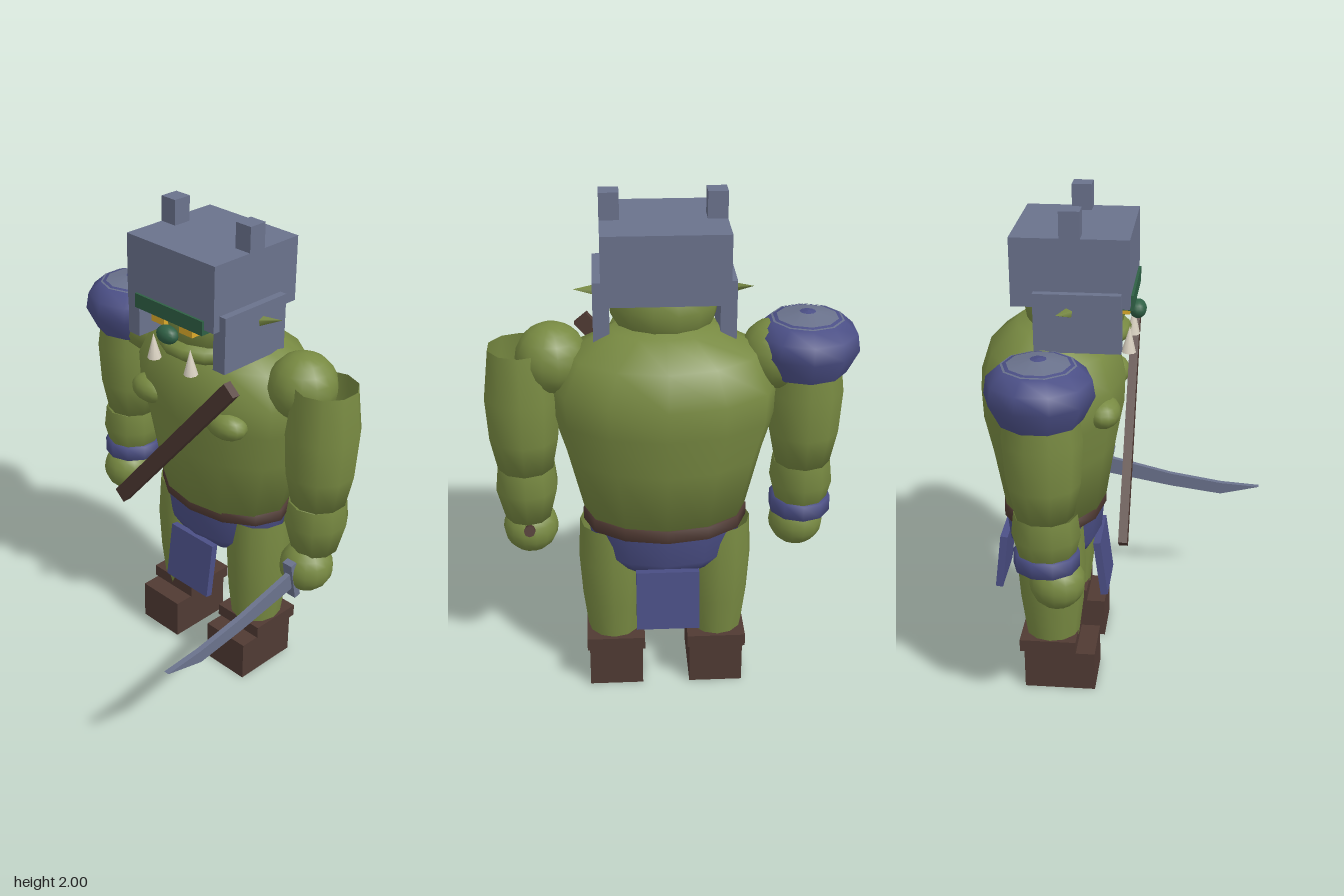
import * as THREE from 'three';

const mat = (name, color, side = THREE.FrontSide) => {
  const m = new THREE.MeshStandardMaterial({ color, side });
  m.name = name;
  return m;
};

export function createModel() {
  const skin = mat('green skin', 0x788a42, THREE.DoubleSide);
  const steel = mat('steel', 0x6a728c);
  const cloth = mat('blue cloth', 0x4b4f86, THREE.DoubleSide);
  const leather = mat('brown leather', 0x503a33);
  const dark = mat('dark green', 0x2f6045);
  const yellow = mat('yellow eye', 0xdcaa2a);
  const ivory = mat('ivory', 0xdad2c2);

  const model = new THREE.Group();
  const body = new THREE.Group();
  body.name = 'body';
  body.position.x = 0.02;
  model.add(body);

  const add = (name, geo, material, x, y, z) => {
    const m = new THREE.Mesh(geo, material);
    m.name = name;
    m.position.set(x, y, z);
    body.add(m);
    return m;
  };
  const box = (name, material, w, h, d, x, y, z) =>
    add(name, new THREE.BoxGeometry(w, h, d), material, x, y, z);
  const ball = (name, material, rx, ry, rz, x, y, z) => {
    const m = add(name, new THREE.SphereGeometry(1, 14, 10), material, x, y, z);
    m.scale.set(rx, ry, rz);
    return m;
  };
  // profile: [radius, y] pairs from bottom to top
  const lathe = (name, material, profile, x, z, sides = 12, depth = 1) => {
    const pts = profile.map(([r, y]) => new THREE.Vector2(r, y));
    const m = add(name, new THREE.LatheGeometry(pts, sides), material, x, 0, z);
    m.scale.z = depth;
    return m;
  };
  // tapered rod between two points
  const rod = (name, material, a, b, r0, r1, sides) => {
    const p = new THREE.Vector3(...a), q = new THREE.Vector3(...b);
    const d = q.clone().sub(p);
    const m = add(name, new THREE.CylinderGeometry(r1, r0, d.length(), sides), material, 0, 0, 0);
    m.position.copy(p).add(q).multiplyScalar(0.5);
    m.quaternion.setFromUnitVectors(new THREE.Vector3(0, 1, 0), d.normalize());
    return m;
  };

  // Torso, belt and loincloth
  lathe('torso', skin, [[0, 0.73], [0.3, 0.73], [0.37, 1.02], [0.418, 1.18], [0.425, 1.3],
    [0.36, 1.43], [0.2, 1.515], [0, 1.54]], 0, -0.28, 12, 0.67);
  const belt = [[0.29, 0.725], [0.315, 0.725], [0.315, 0.775], [0.29, 0.775]];
  lathe('belt', leather, belt, 0, -0.285, 12, 0.67);
  lathe('loincloth', cloth, [[0, 0.56], [0.235, 0.56], [0.28, 0.61], [0.3, 0.74]], 0, -0.285, 12, 0.68);
  box('frontFlap', cloth, 0.24, 0.245, 0.03, 0, 0.467, -0.088).rotation.x = -0.12;
  box('backFlap', cloth, 0.24, 0.24, 0.03, 0, 0.48, -0.5).rotation.x = 0.12;
  box('chestStrap', leather, 0.064, 0.962, 0.035, 0, 1.07, 0.022).rotation.z = -0.698;

  // Head and face
  ball('head', skin, 0.205, 0.18, 0.2, 0, 1.59, -0.185);
  ball('jaw', skin, 0.205, 0.07, 0.21, 0, 1.48, -0.18);
  ball('nose', dark, 0.05, 0.036, 0.034, 0, 1.565, 0.052);
  box('brow', dark, 0.36, 0.057, 0.08, 0, 1.647, 0.01);

  // Helmet
  box('helmet', steel, 0.46, 0.26, 0.44, 0, 1.77, -0.18);

  for (const s of [-1, 1]) {
    box('helmetHorn', steel, 0.073, 0.1, 0.077, s * 0.194, 1.95, -0.178);
    box('cheekPlate', steel, 0.06, 0.225, 0.325, s * 0.23, 1.588, -0.152);
    box('eye', yellow, 0.07, 0.042, 0.06, s * 0.075, 1.6, 0.0);
    rod('tusk', ivory, [s * 0.1, 1.425, 0.025], [s * 0.1, 1.53, 0.03], 0.028, 0, 8);
    rod('ear', skin, [s * 0.2, 1.62, -0.16], [s * 0.33, 1.645, -0.22], 0.035, 0, 5);
    ball('pec', skin, 0.095, 0.058, 0.065, s * 0.21, 1.22, -0.06);

    // Arms
    ball('shoulder', skin, 0.135, 0.135, 0.135, s * 0.415, 1.395, -0.255);
    lathe('upperArm', skin, [[0, 0.93], [0.108, 0.945], [0.135, 1.08], [0.145, 1.25], [0.122, 1.44]],
      s * 0.53, -0.25, 10, 1.03);
    lathe('forearm', skin, [[0, 0.73], [0.09, 0.73], [0.122, 0.86], [0.112, 0.95]], s * 0.53, -0.245, 10, 1.07);
    ball('hand', skin, 0.108, 0.105, 0.107, s * 0.525, 0.655, -0.207);

    // Legs and boots
    lathe('leg', skin, [[0.098, 0.18], [0.122, 0.38], [0.133, 0.56], [0.125, 0.72]],
      s * 0.205, -0.278, 12, 1.06);
    box('bootCuff', leather, 0.23, 0.052, 0.23, s * 0.2, 0.204, -0.287);
    box('boot', leather, 0.212, 0.172, 0.29, s * 0.2, 0.086, -0.24);
  }

  // Pauldron with inlaid rings, and wrist band, on the right arm
  lathe('pauldron', cloth, [[0.155, 1.33], [0.2, 1.42], [0.19, 1.485], [0.14, 1.53], [0, 1.56]],
    -0.525, -0.255, 10);
  const ringY = (r) => 1.563 - r * 0.214;
  for (const [r0, r1] of [[0.03, 0.115], [0.129, 0.137]]) {
    lathe('pauldronRing', steel, [[r1, ringY(r1)], [r0, ringY(r0)]], -0.525, -0.255, 10);
  }
  lathe('wristBand', cloth, [[0.09, 0.73], [0.12, 0.73], [0.12, 0.792], [0.09, 0.792]], -0.53, -0.245, 10, 1.05);

  // Curved sword held in the left hand: side outline in (z, y), extruded along x
  const outline = [[-0.11, 0.59], [0.165, 0.538], [0.39, 0.507], [0.56, 0.548],
    [0.39, 0.56], [0.165, 0.597], [-0.11, 0.665]];
  const blade = new THREE.ExtrudeGeometry(
    new THREE.Shape(outline.map(([z, y]) => new THREE.Vector2(z, y))), { depth: 0.022, bevelEnabled: false });
  add('swordBlade', blade.rotateY(-Math.PI / 2), steel, 0.536, 0, 0);
  box('swordGuard', steel, 0.045, 0.17, 0.03, 0.525, 0.63, -0.12).rotation.x = 0.2;
  rod('swordHandle', leather, [0.525, 0.63, -0.12], [0.525, 0.695, -0.33], 0.022, 0.022, 8);

  return model;
}
